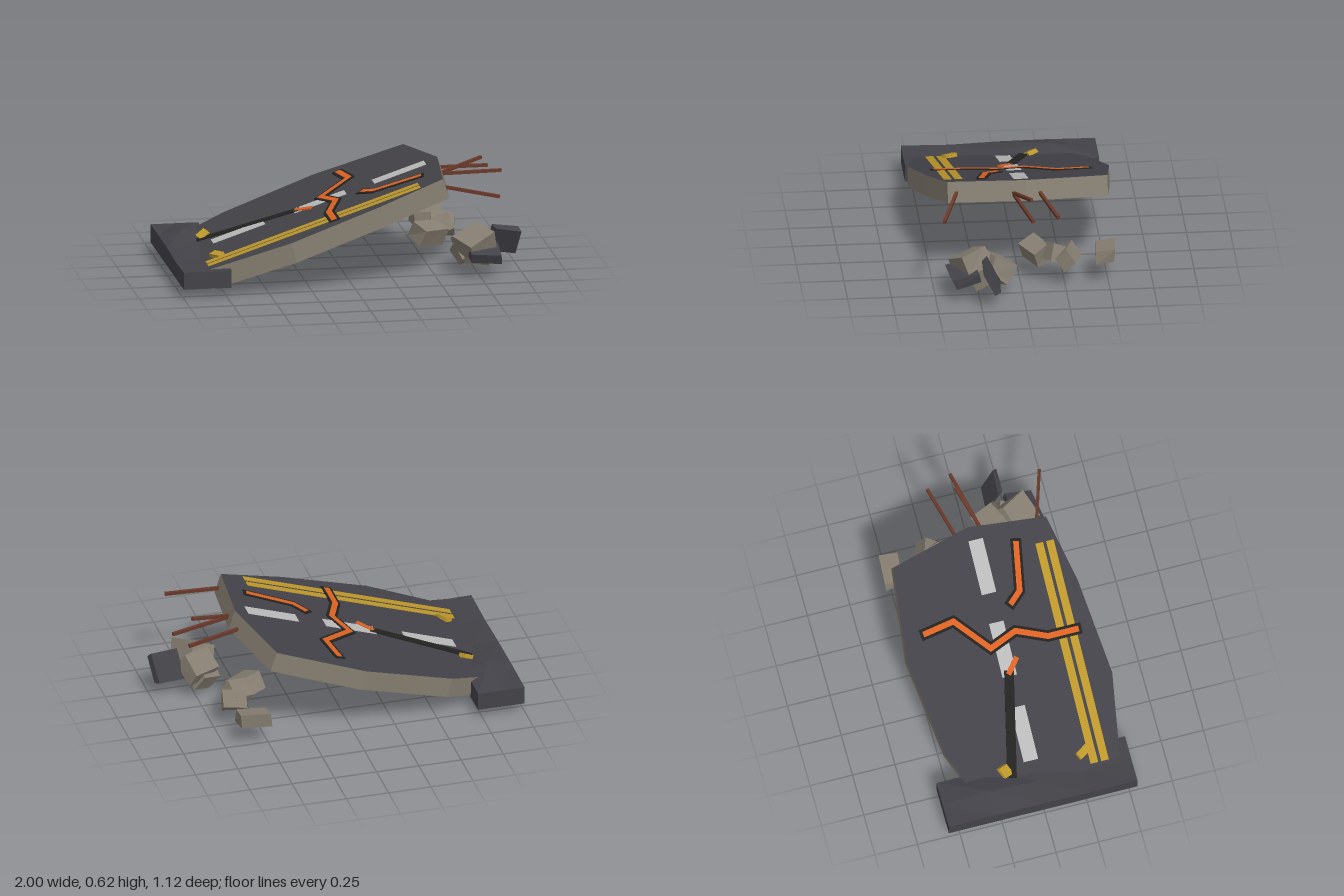
import * as THREE from 'three';

const colour = (name, hex) => {
  const m = new THREE.MeshStandardMaterial({ color: hex, flatShading: true });
  m.name = name;
  return m;
};

export function createModel() {
  const asphalt = colour('asphalt', 0x434248);
  const concrete = colour('concrete', 0x857d70);
  const steel = colour('rusty steel', 0x69382a);
  const yellow = colour('yellow paint', 0xbd972b);
  const white = colour('white paint', 0xbababa);
  const dark = colour('dark crack', 0x222220);
  const orange = colour('glowing orange', 0xdc6222);

  const root = new THREE.Group();
  root.name = 'brokenRoad';
  const add = (parent, name, geo, mat) => {
    const mesh = new THREE.Mesh(geo, mat);
    mesh.name = name;
    parent.add(mesh);
    return mesh;
  };

  // Tilted deck: its local y = 0 is the road surface
  const deck = new THREE.Group();
  deck.name = 'tiltedDeck';
  deck.position.y = 0.437;
  deck.rotation.z = Math.atan(1 / 3);
  root.add(deck);
  const stretch = 1 / Math.cos(deck.rotation.z);

  // Flat outline in plan (x, z), extruded between two heights of the deck
  const plate = (outline, bottom, top) => {
    const shape = new THREE.Shape(outline.map(([x, z]) => new THREE.Vector2(x * stretch, -z)));
    return new THREE.ExtrudeGeometry(shape, { depth: top - bottom, bevelEnabled: false })
      .rotateX(-Math.PI / 2).translate(0, bottom, 0);
  };

  add(deck, 'roadSlab', plate([
    [-0.865, 0.48], [-0.385, 0.56], [0.14, 0.498], [0.52, 0.41], [0.565, -0.04], [0.45, -0.51],
    [-0.065, -0.564], [-0.6, -0.48], [-0.78, -0.4], [-0.95, -0.32], [-0.865, 0.1],
  ], -0.12, 0), [asphalt, concrete]);

  // Mitred ribbon following a path on the deck
  const ribbon = (name, mat, path, width, top, extend = 0) => {
    const pts = path.map(([x, z]) => new THREE.Vector2(x, z));
    const n = pts.length - 1;
    const dirs = pts.slice(1).map((p, i) => p.clone().sub(pts[i]).normalize());
    const first = pts[0].clone().addScaledVector(dirs[0], -extend);
    const last = pts[n].clone().addScaledVector(dirs[n - 1], extend);
    pts[0] = first;
    pts[n] = last;
    const left = [], right = [];
    pts.forEach((p, i) => {
      const a = dirs[Math.max(i - 1, 0)], b = dirs[Math.min(i, n - 1)];
      const t = a.clone().add(b).normalize();
      const h = width / 2 / t.dot(a);
      left.push([p.x - t.y * h, p.y + t.x * h]);
      right.unshift([p.x + t.y * h, p.y - t.x * h]);
    });
    add(deck, name, plate([...left, ...right], 0, top), mat);
  };

  // Lane paint
  for (const x of [-0.74, -0.27, 0.19])
    ribbon('laneDash', white, [[x, -0.013], [x + 0.3, -0.013]], 0.085, 0.003);
  for (const z of [0.335, 0.398]) {
    ribbon('yellowLine', yellow, [[-0.835, z], [-0.125, z]], 0.045, 0.003);
    ribbon('yellowLine', yellow, [[-0.085, z], [0.39, z]], 0.045, 0.003);
  }

  // Glowing cracks with dark rims
  const cracks = [
    [[0.06, -0.435], [0.09, -0.25], [-0.1, -0.08], [-0.04, 0.08], [-0.11, 0.255], [-0.11, 0.435]],
    [[0.105, 0.09], [0.165, 0.16], [0.43, 0.208]],
  ];
  for (const path of cracks) {
    ribbon('crackRim', dark, path, 0.062, 0.006, 0.016);
    ribbon('crackGlow', orange, path, 0.032, 0.009);
  }
  ribbon('longCrack', dark, [[-0.81, -0.143], [-0.24, -0.01]], 0.055, 0.006);
  ribbon('longCrackGlow', orange, [[-0.26, -0.018], [-0.178, 0.052]], 0.03, 0.009);

  // Box whose corners are pushed about by a repeatable rule
  const chunk = (name, mat, [x, y, z], size, rot, seed) => {
    const geo = new THREE.BoxGeometry(...size);
    const p = geo.attributes.position;
    const wobble = (corner, axis) => Math.sin(corner * 12.9 + axis * 7.7 + seed * 4.1) * 0.13;
    for (let i = 0; i < p.count; i++) {
      const c = (p.getX(i) > 0) + 2 * (p.getY(i) > 0) + 4 * (p.getZ(i) > 0);
      p.setXYZ(i, p.getX(i) + size[0] * wobble(c, 0), p.getY(i) + size[1] * wobble(c, 1),
        p.getZ(i) + size[2] * wobble(c, 2));
    }
    const mesh = add(root, name, geo, mat);
    mesh.position.set(x, y, z);
    mesh.rotation.set(...rot);
  };

  // Approach kerb with a buckled top
  const kerb = new THREE.BoxGeometry(0.275, 0.1, 1.11, 2, 1, 4);
  const heights = [
    [0.165, 0.165, 0.165], [0.168, 0.208, 0.17], [0.165, 0.17, 0.165],
    [0.155, 0.15, 0.16], [0.16, 0.157, 0.165],
  ];
  const kp = kerb.attributes.position;
  for (let i = 0; i < kp.count; i++) {
    const col = Math.round((kp.getX(i) / 0.275 + 0.5) * 2);
    const row = Math.round((kp.getZ(i) / 1.11 + 0.5) * 4);
    kp.setY(i, kp.getY(i) > 0 ? heights[row][col] : 0.06);
  }
  kerb.translate(-0.8625, 0, -0.01);
  add(root, 'approachRoad', kerb, asphalt);

  // Splinters of painted road
  chunk('yellowSplinter', yellow, [-0.765, 0.193, 0.28], [0.045, 0.02, 0.085], [0, 0.5, 0.3], 1);
  chunk('yellowSplinter', yellow, [-0.765, 0.193, -0.17], [0.07, 0.025, 0.05], [0.2, 0.6, 0.4], 2);

  // Bent reinforcing bars at the torn end
  const bars = [
    [[0.54, 0.55, 0.36], [0.84, 0.505, 0.455]],
    [[0.55, 0.545, 0.045], [0.82, 0.613, -0.045]],
    [[0.55, 0.547, 0.042], [0.935, 0.53, -0.045]],
    [[0.54, 0.547, -0.108], [0.88, 0.525, -0.193]],
  ];
  for (const [a, b] of bars) {
    const from = new THREE.Vector3(...a), to = new THREE.Vector3(...b);
    const bar = add(root, 'rebar', new THREE.BoxGeometry(0.018, 0.018, from.distanceTo(to)), steel);
    bar.position.copy(from).lerp(to, 0.5);
    bar.lookAt(to);
  }

  // Fallen rubble
  const rubble = [
    [concrete, [0.57, 0.163, -0.48], [0.17, 0.085, 0.12], [0.05, -0.08, 0.06]],
    [concrete, [0.53, 0.17, -0.115], [0.16, 0.1, 0.12], [0.5, 0.4, -0.3]],
    [concrete, [0.6, 0.19, -0.205], [0.13, 0.1, 0.11], [-0.5, 0.3, 0.4]],
    [concrete, [0.63, 0.165, -0.275], [0.13, 0.1, 0.1], [0.7, -0.3, 0.2]],
    [concrete, [0.73, 0.215, 0.27], [0.17, 0.11, 0.17], [0.35, 0.5, 0.25]],
    [concrete, [0.72, 0.19, 0.16], [0.18, 0.1, 0.13], [-0.6, 0.4, 0.3]],
    [concrete, [0.75, 0.115, 0.21], [0.14, 0.09, 0.12], [0.6, -0.4, 0.2]],
    [concrete, [0.7, 0.12, 0.12], [0.13, 0.1, 0.07], [-0.6, 0.3, 0.5]],
    [asphalt, [0.76, 0.15, 0.355], [0.19, 0.06, 0.14], [0.25, 0.15, -0.15]],
    [asphalt, [0.905, 0.172, 0.185], [0.145, 0.17, 0.04], [0.45, -0.1, -0.1]],
  ];
  rubble.forEach(([mat, pos, size, rot], i) =>
    chunk(mat === asphalt ? 'asphaltChunk' : 'concreteChunk', mat, pos, size, rot, i + 3));

  return root;
}
